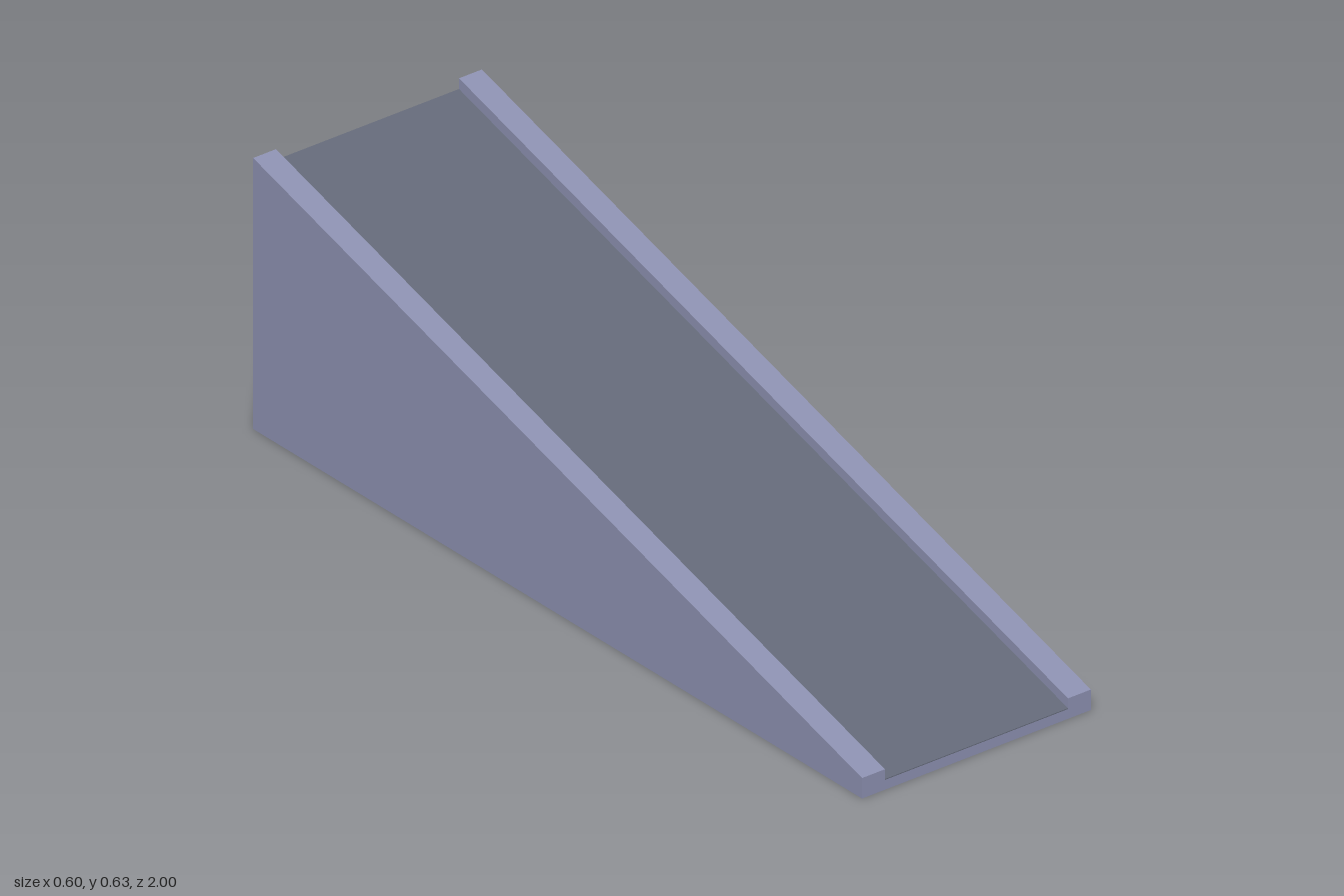
import * as THREE from 'three';

// Heights of the sloped surfaces, from back (z = -1) to front (z = 1)
const slope = (back, front) => (z) => THREE.MathUtils.lerp(back, front, (z + 1) / 2);
const floorHeight = slope(0.608, 0.023);
const curbHeight = slope(0.635, 0.048);

// Replace each vertex's y with a rule of its level and z
function shear(geometry, rule) {
  const p = geometry.attributes.position;
  for (let i = 0; i < p.count; i++) p.setY(i, rule(p.getY(i), p.getZ(i)));
  geometry.computeVertexNormals();
  return geometry;
}

export function createModel() {
  const bodyMaterial = new THREE.MeshStandardMaterial({ color: 0x8c90b0 });
  bodyMaterial.name = 'blue grey body';
  const deckMaterial = new THREE.MeshStandardMaterial({ color: 0x636978 });
  deckMaterial.name = 'dark grey deck';

  const group = new THREE.Group();
  group.name = 'ramp';

  // Wedge with side curbs: U section, levels 0 = base, 1 = floor, 2 = curb top
  const section = new THREE.Shape([
    [-0.3, 0], [0.3, 0], [0.3, 2], [0.24, 2],
    [0.24, 1], [-0.24, 1], [-0.24, 2], [-0.3, 2],
  ].map(([x, y]) => new THREE.Vector2(x, y)));
  const bodyGeometry = new THREE.ExtrudeGeometry(section, { depth: 2, bevelEnabled: false });
  bodyGeometry.translate(0, 0, -1);
  shear(bodyGeometry, (level, z) =>
    level < 0.5 ? 0 : level < 1.5 ? floorHeight(z) : curbHeight(z));
  const body = new THREE.Mesh(bodyGeometry, bodyMaterial);
  body.name = 'rampBody';
  group.add(body);

  // Thin driving surface between the curbs
  const deckGeometry = shear(new THREE.BoxGeometry(0.48, 0.002, 2),
    (y, z) => floorHeight(z) + y + 0.001);
  const deck = new THREE.Mesh(deckGeometry, deckMaterial);
  deck.name = 'deck';
  group.add(deck);

  return group;
}
